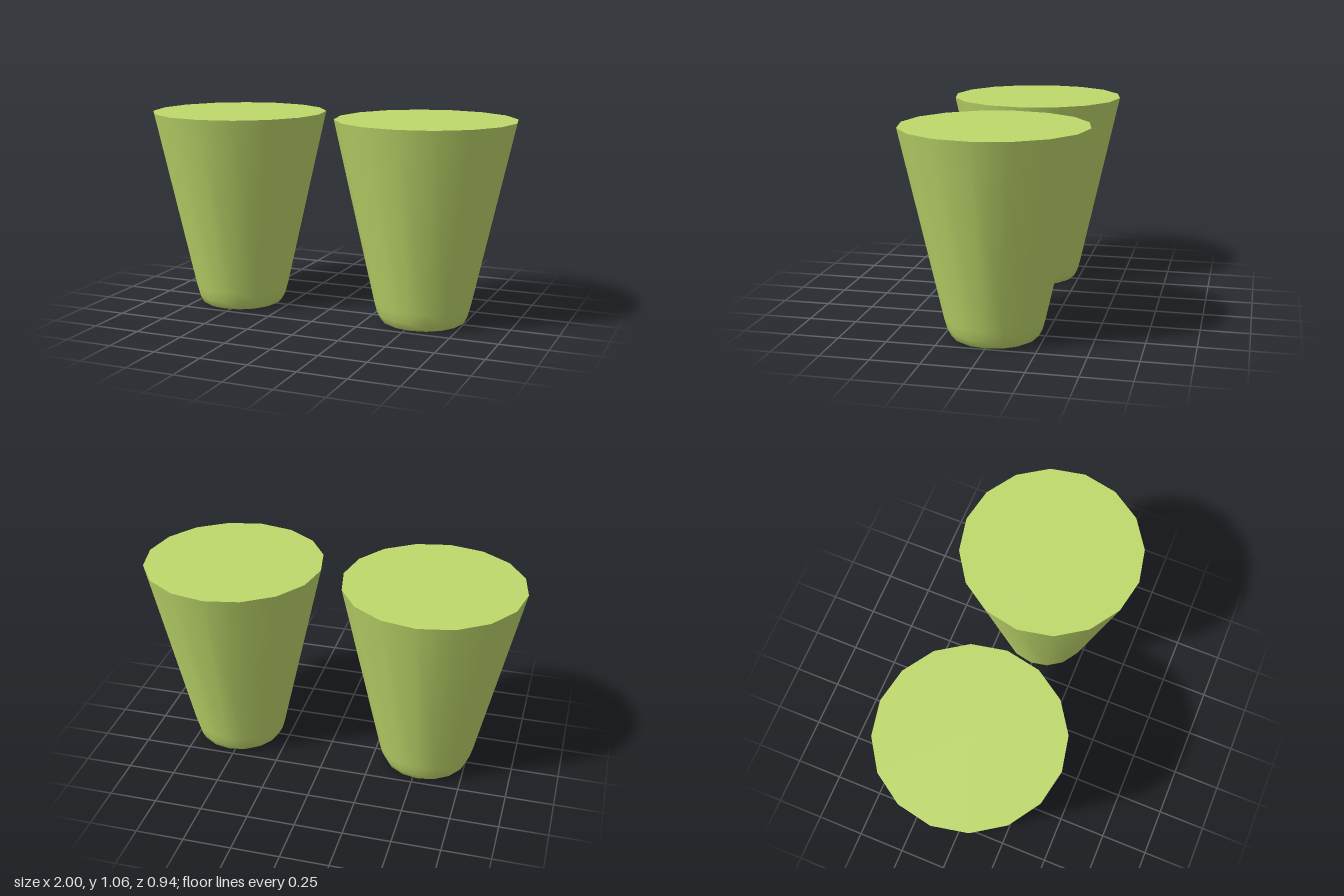
import * as THREE from 'three';

const SIDES = 16;
const HEIGHT = 1.06;
const TOP_RADIUS = 0.47;
const BASE_RADIUS = 0.208;

// Tapered side with a rounded lower edge, closed by flat discs
function createCup(name, x, material) {
  const cup = new THREE.Group();
  cup.name = name;
  cup.position.x = x;

  const profile = [
    [BASE_RADIUS, 0], [0.222, 0.008], [0.241, 0.045], [0.256, 0.1], [TOP_RADIUS, HEIGHT],
  ].map(([r, y]) => new THREE.Vector2(r, y));
  const wall = new THREE.Mesh(new THREE.LatheGeometry(profile, SIDES), material);
  wall.name = 'wall';

  const top = new THREE.Mesh(new THREE.CircleGeometry(TOP_RADIUS, SIDES), material);
  top.name = 'topDisc';
  top.rotation.x = -Math.PI / 2;
  top.position.y = HEIGHT;

  const base = new THREE.Mesh(new THREE.CircleGeometry(BASE_RADIUS, SIDES), material);
  base.name = 'baseDisc';
  base.rotation.x = Math.PI / 2;

  cup.add(wall, top, base);
  return cup;
}

export function createModel() {
  const model = new THREE.Group();
  model.name = 'cupPair';
  const green = new THREE.MeshStandardMaterial({ color: 0xbfd96b });
  model.add(createCup('leftCup', 0.53, green), createCup('rightCup', -0.53, green));
  return model;
}
